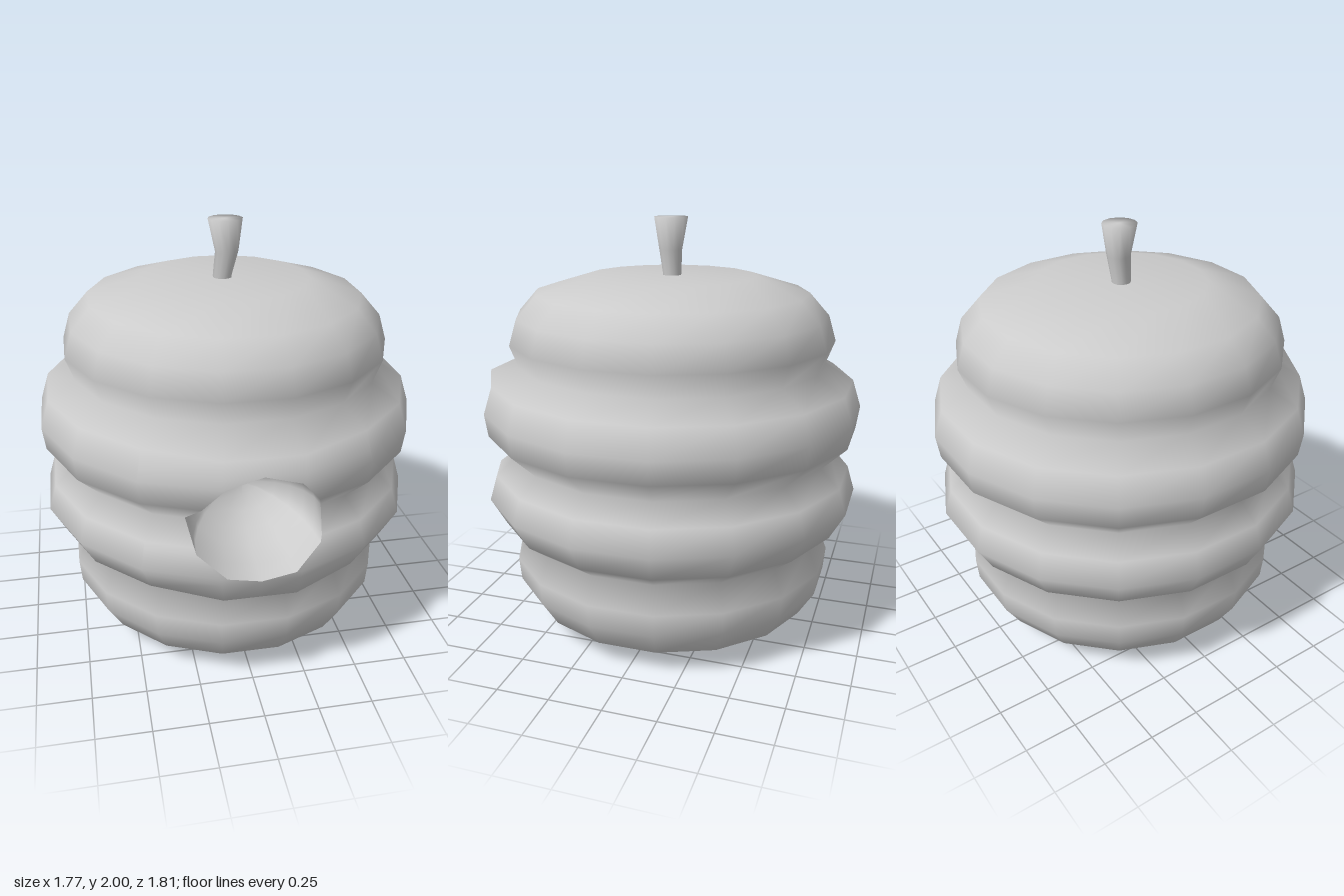
import * as THREE from 'three';

const SIDES = 16;
const Z_SCALE = 1.02;
const FLAT = Math.cos(Math.PI / SIDES);

// Hive outline: [half width across flats, height], bottom centre to top centre
const PROFILE = [
  [0, 0], [0.5, 0], [0.68, 0.115], [0.755, 0.24], [0.765, 0.35], [0.715, 0.475],
  [0.81, 0.55], [0.88, 0.68], [0.845, 0.8], [0.755, 0.885], [0.87, 1.0], [0.885, 1.11],
  [0.845, 1.24], [0.715, 1.32], [0.755, 1.43], [0.72, 1.55], [0.63, 1.655], [0.39, 1.73], [0, 1.73],
];
// Rows of the profile replaced around the entrance
const PATCH_START = 6, PATCH_END = 12;

// Right half of the entrance outline: [half width, height]
const HOLE = [[0, 0.645], [0.15, 0.68], [0.27, 0.77], [0.3, 0.885], [0.25, 1.0], [0.16, 1.11], [0, 1.155]];

function geometryFrom(positions, index, normals) {
  const g = new THREE.BufferGeometry();
  g.setAttribute('position', new THREE.Float32BufferAttribute(positions, 3));
  if (index) g.setIndex(index);
  if (normals) g.setAttribute('normal', new THREE.Float32BufferAttribute(normals, 3));
  else g.computeVertexNormals();
  return g;
}

// Smooth profile normals [outward, up]
const PROFILE_NORMALS = PROFILE.map((p, i) => {
  const n = new THREE.Vector2();
  for (const j of [i - 1, i]) {
    if (j < 0 || j + 1 >= PROFILE.length) continue;
    const [r0, y0] = PROFILE[j], [r1, y1] = PROFILE[j + 1];
    n.add(new THREE.Vector2(y1 - y0, r0 - r1).normalize());
  }
  return n.normalize();
});

// Corner of the faceted hive: column c (half steps from the front), profile row i
function corner(c, i) {
  const a = (c * 2 * Math.PI) / SIDES;
  const r = PROFILE[i][0] / FLAT, n = PROFILE_NORMALS[i];
  const lip = Math.abs(c) === 0.5 && (i === PATCH_START || i === PATCH_END) ? 0.04 : 0;
  return {
    p: new THREE.Vector3(Math.sin(a) * r, PROFILE[i][1], Math.cos(a) * r * Z_SCALE + lip),
    n: new THREE.Vector3(Math.sin(a) * n.x, n.y, Math.cos(a) * n.x),
  };
}

// Any point on the faceted surface, with its blended normal
function surface(s, t) {
  const c = Math.floor(s + 0.5) - 0.5, u = s - c;
  const i = Math.min(Math.floor(t), PROFILE.length - 2), v = t - i;
  const q = [corner(c, i), corner(c + 1, i), corner(c, i + 1), corner(c + 1, i + 1)];
  const blend = (k) => q[0][k].clone().lerp(q[1][k], u).lerp(q[2][k].clone().lerp(q[3][k], u), v);
  return { p: blend('p'), n: blend('n').normalize() };
}

// Height to fractional profile row
function rowAt(y) {
  let i = PATCH_START;
  while (i < PATCH_END - 1 && y >= PROFILE[i + 1][1]) i++;
  return i + (y - PROFILE[i][1]) / (PROFILE[i + 1][1] - PROFILE[i][1]);
}

// Entrance half width at a height
function holeWidth(y) {
  for (let i = 0; i < HOLE.length - 1; i++) {
    const [w0, y0] = HOLE[i], [w1, y1] = HOLE[i + 1];
    if (y >= y0 && y <= y1) return w0 + ((w1 - w0) * (y - y0)) / (y1 - y0);
  }
  return 0;
}

// Half width x at row t to fractional column
function columnAt(x, t) {
  const a = surface(0.5, t).p.x, b = surface(1.4999, t).p.x;
  return x < a ? (0.5 * x) / a : 0.5 + (x - a) / (b - a);
}

// Entrance surround: horizontal rows through every profile and outline height
const patchHeights = [...new Set([
  ...PROFILE.slice(PATCH_START, PATCH_END + 1).map((p) => p[1]),
  ...HOLE.map((p) => p[1]),
])].sort((a, b) => a - b);
const patchRows = patchHeights.map((y) => {
  const t = rowAt(y);
  return { y, t, s: columnAt(holeWidth(y), t) };
});

function buildHive() {
  const pos = [], nor = [];
  const quad = (a, b, c, d) => {
    for (const [s, t] of [a, b, c, a, c, d]) {
      const v = surface(s, t);
      pos.push(...v.p.toArray());
      nor.push(...v.n.toArray());
    }
  };
  // Plain facets
  for (let i = 0; i < PROFILE.length - 1; i++) {
    for (let c = -1.5; c < SIDES - 1.5; c++) {
      if (i >= PATCH_START && i < PATCH_END && c < 1.5) continue;
      quad([c, i], [c + 1, i], [c + 1, i + 1], [c, i + 1]);
    }
  }
  // Facets either side of the entrance
  for (let k = 0; k < patchRows.length - 1; k++) {
    const lo = patchRows[k], hi = patchRows[k + 1];
    const cols = (r) => [r.s, Math.max(0.5, r.s), 1.5];
    const l = cols(lo), h = cols(hi);
    for (let j = 0; j < 2; j++) {
      quad([l[j], lo.t], [l[j + 1], lo.t], [h[j + 1], hi.t], [h[j], hi.t]);
      quad([-l[j + 1], lo.t], [-l[j], lo.t], [-h[j], hi.t], [-h[j + 1], hi.t]);
    }
  }
  return geometryFrom(pos, null, nor);
}

// Rounded hollow running back from the entrance rim
function buildHollow() {
  const rows = patchRows.filter((r) => r.y >= HOLE[0][1] && r.y <= HOLE[HOLE.length - 1][1]);
  const rim = [
    ...rows.map((r) => surface(r.s, r.t).p),
    ...rows.slice(1, -1).reverse().map((r) => surface(-r.s, r.t).p),
  ];
  const back = new THREE.Vector3(0, 0.89, 0.45);
  const rings = 6, n = rim.length, pos = [], idx = [];
  for (let k = 0; k <= rings; k++) {
    const a = (k / rings) * Math.PI / 2;
    const spread = Math.cos(a), depth = Math.sin(a);
    for (const p of rim) {
      pos.push(
        p.x * spread,
        back.y + (p.y - back.y) * spread,
        p.z + (back.z - p.z) * depth,
      );
    }
  }
  for (let k = 0; k < rings; k++) {
    for (let j = 0; j < n; j++) {
      const a = k * n + j, b = k * n + ((j + 1) % n);
      idx.push(a, b, b + n, a, b + n, a + n);
    }
  }
  return geometryFrom(pos, idx);
}

// Flared stem with a slight bend
function buildStem() {
  const pts = [[0.043, 1.71], [0.045, 1.74], [0.055, 1.85], [0.081, 2.0], [0, 2.0]];
  const g = new THREE.LatheGeometry(pts.map(([r, y]) => new THREE.Vector2(r, y)), 12);
  const p = g.attributes.position;
  for (let i = 0; i < p.count; i++) {
    const y = p.getY(i);
    p.setX(i, p.getX(i) + (y < 1.8 ? -0.007 : y < 1.9 ? 0.014 : 0.007));
  }
  return g;
}

export function createModel() {
  const group = new THREE.Group();
  group.name = 'beehive';
  const material = new THREE.MeshStandardMaterial({ color: 0xcccccc });
  const parts = { hiveBody: buildHive(), entranceHollow: buildHollow(), stem: buildStem() };
  for (const [name, geometry] of Object.entries(parts)) {
    const mesh = new THREE.Mesh(geometry, material);
    mesh.name = name;
    group.add(mesh);
  }
  return group;
}
